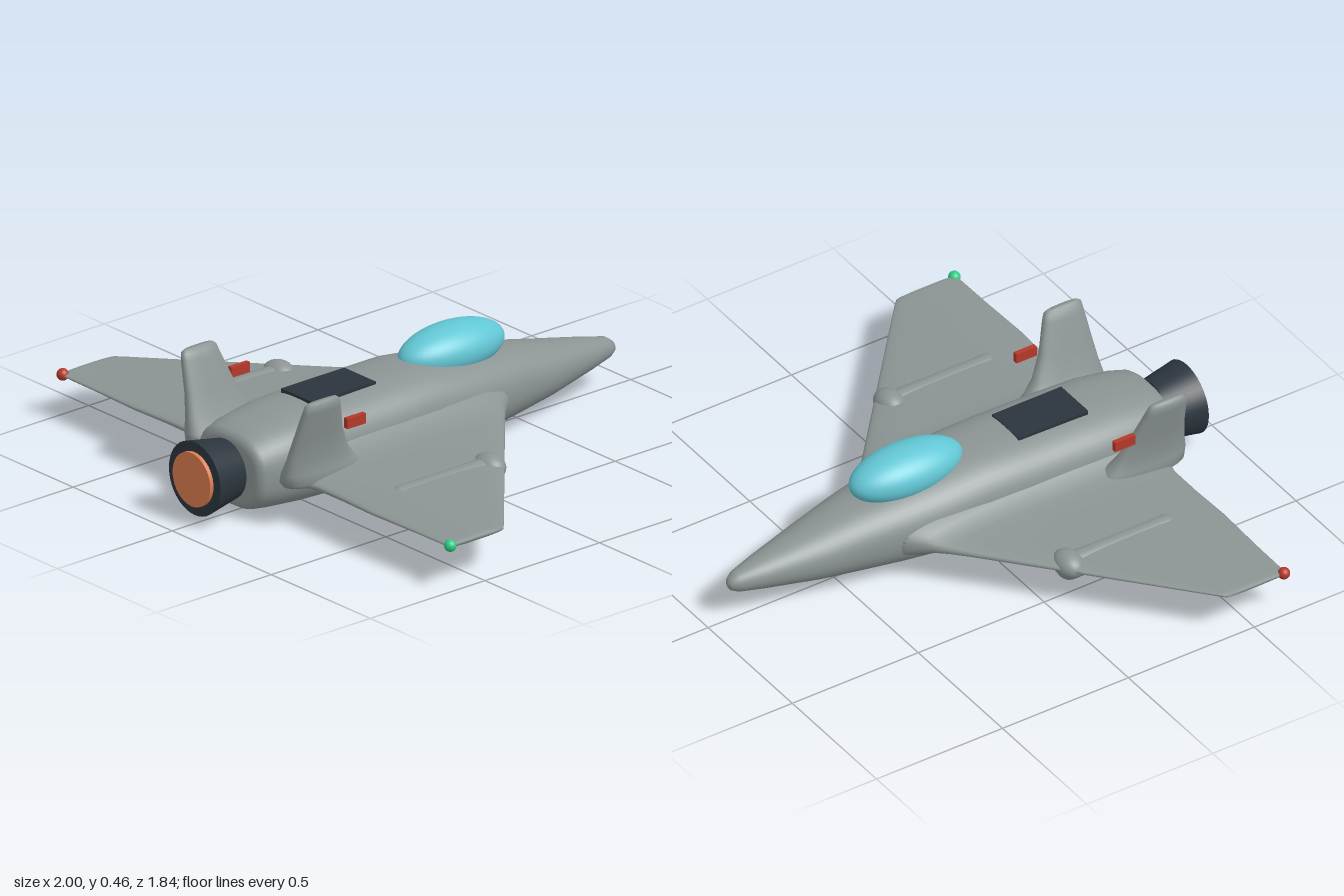
import * as THREE from 'three';

const mat = (name, color, extra = {}) => {
  const m = new THREE.MeshStandardMaterial({ color, ...extra });
  m.name = name;
  return m;
};

// Loft through superellipse rings: each ring = { c: centre, u, v: half axes, n: squareness }
function loft(rings, flip = false, seg = 48) {
  const pos = [], idx = [];
  const tri = (a, b, c) => (flip ? idx.push(a, c, b) : idx.push(a, b, c));
  const sp = (t, n) => Math.sign(t) * Math.pow(Math.abs(t), 2 / n);
  for (const { c, u, v, n } of rings) {
    for (let j = 0; j < seg; j++) {
      const a = (j / seg) * Math.PI * 2;
      const p = sp(Math.cos(a), n), q = sp(Math.sin(a), n);
      for (let k = 0; k < 3; k++) pos.push(c[k] + u[k] * p + v[k] * q);
    }
  }
  const last = rings.length - 1, base = rings.length * seg;
  pos.push(...rings[0].c, ...rings[last].c);
  for (let j = 0; j < seg; j++) {
    const k = (j + 1) % seg;
    for (let i = 0; i < last; i++) {
      const a = i * seg + j, b = i * seg + k;
      tri(a, b, b + seg);
      tri(a, b + seg, a + seg);
    }
    tri(base, k, j);
    tri(base + 1, last * seg + j, last * seg + k);
  }
  const g = new THREE.BufferGeometry();
  g.setAttribute('position', new THREE.Float32BufferAttribute(pos, 3));
  g.setIndex(idx);
  g.computeVertexNormals();
  return g;
}

export function createModel() {
  const root = new THREE.Group();
  root.name = 'jet';
  const hull = mat('hull grey', 0x8b9393);
  const glass = mat('canopy blue', 0x62c6d4);
  const dark = mat('dark metal', 0x2b353d);
  const glow = mat('exhaust orange', 0xd97b4f);
  const red = mat('signal red', 0xb5382a);
  const green = mat('signal green', 0x2ecc85);

  const add = (name, geo, material, x = 0, y = 0, z = 0) => {
    const m = new THREE.Mesh(geo, material);
    m.name = name;
    m.position.set(x, y, z);
    root.add(m);
    return m;
  };

  // Fuselage: z, half width, bottom, top, squareness
  const body = [
    [-0.922, 0.008, 0.138, 0.154, 2], [-0.915, 0.022, 0.125, 0.168, 2],
    [-0.89, 0.037, 0.112, 0.186, 2], [-0.8, 0.063, 0.094, 0.208, 2],
    [-0.6, 0.111, 0.06, 0.251, 2.1], [-0.45, 0.139, 0.043, 0.284, 2.2],
    [-0.3, 0.166, 0.029, 0.306, 2.3], [-0.15, 0.185, 0.017, 0.324, 2.4],
    [0, 0.196, 0.008, 0.341, 2.5], [0.15, 0.2, 0.003, 0.338, 2.6],
    [0.4, 0.2, 0.004, 0.333, 2.6], [0.55, 0.196, 0.01, 0.327, 2.6],
    [0.68, 0.182, 0.02, 0.308, 2.6], [0.735, 0.168, 0.026, 0.293, 2.6],
    [0.752, 0.156, 0.036, 0.28, 2.6], [0.757, 0.135, 0.055, 0.26, 2.5],
  ];
  add('fuselage', loft(body.map(([z, w, b, t, n]) => ({
    c: [0, (b + t) / 2, z], u: [w, 0, 0], v: [0, (t - b) / 2, 0], n,
  }))), hull);

  // Canopy
  const dome = new THREE.SphereGeometry(1, 40, 28);
  dome.scale(0.105, 0.088, 0.216);
  add('canopy', dome, glass, 0, 0.331, -0.216);

  // Dorsal panel
  add('dorsalPanel', new THREE.BoxGeometry(0.16, 0.02, 0.275), dark, 0, 0.33, 0.318);

  // Engine nozzle and exhaust
  const nozzle = new THREE.CylinderGeometry(0.13, 0.105, 0.135, 40);
  nozzle.rotateX(Math.PI / 2);
  add('engineNozzle', nozzle, dark, 0, 0.163, 0.834);
  const disc = new THREE.CylinderGeometry(0.095, 0.095, 0.03, 40);
  disc.rotateX(Math.PI / 2);
  add('exhaustGlow', disc, glow, 0, 0.163, 0.901);

  // Wing: x, half thickness, leading z, trailing z (thick root forms the fillet)
  const wing = [
    [0.12, 0.1, -0.38, 0.69], [0.17, 0.085, -0.325, 0.685], [0.2, 0.066, -0.285, 0.68],
    [0.225, 0.05, -0.26, 0.67], [0.26, 0.038, -0.228, 0.655], [0.32, 0.031, -0.175, 0.642],
    [0.45, 0.025, -0.062, 0.642], [0.6, 0.02, 0.069, 0.648], [0.8, 0.014, 0.243, 0.642],
    [0.96, 0.011, 0.383, 0.64], [0.978, 0.01, 0.4, 0.64], [0.983, 0.005, 0.412, 0.635],
  ];
  // Tail fin: y, centre x, half thickness, leading z, trailing z
  const fin = [
    [0.15, 0.235, 0.05, 0.4, 0.7], [0.165, 0.237, 0.066, 0.38, 0.72],
    [0.2, 0.243, 0.051, 0.42, 0.725], [0.25, 0.255, 0.037, 0.46, 0.715],
    [0.33, 0.275, 0.03, 0.5, 0.703], [0.43, 0.306, 0.025, 0.534, 0.692],
    [0.455, 0.312, 0.02, 0.542, 0.688], [0.465, 0.313, 0.01, 0.555, 0.675],
  ];
  for (const s of [1, -1]) {
    const side = s > 0 ? 'left' : 'right';
    add(side + 'Wing', loft(wing.map(([x, t, a, b]) => ({
      c: [s * x, 0.156, (a + b) / 2], u: [0, t, 0], v: [0, 0, (b - a) / 2], n: 2.7,
    })), s < 0), hull);
    add(side + 'TailFin', loft(fin.map(([y, x, t, a, b]) => ({
      c: [s * x, y, (a + b) / 2], u: [0, 0, (b - a) / 2], v: [s * t, 0, 0], n: 2.6,
    })), s < 0), hull);

    // Pod under the wing, with a swollen nose
    const pod = new THREE.CapsuleGeometry(0.046, 0.38, 10, 24);
    pod.rotateX(Math.PI / 2);
    add(side + 'WingPod', pod, hull, s * 0.53, 0.137, 0.27);
    const nose = new THREE.SphereGeometry(0.05, 24, 16);
    nose.scale(1.3, 0.9, 1);
    add(side + 'PodNose', nose, hull, s * 0.53, 0.151, 0.075);

    // Fin marker block and wing tip light
    add(side + 'FinMarker', new THREE.BoxGeometry(0.018, 0.036, 0.08), red, s * 0.293, 0.342, 0.455);
    add(side + 'TipLight', new THREE.SphereGeometry(0.021, 20, 14), s > 0 ? green : red, s * 0.978, 0.157, 0.632);
  }
  return root;
}
